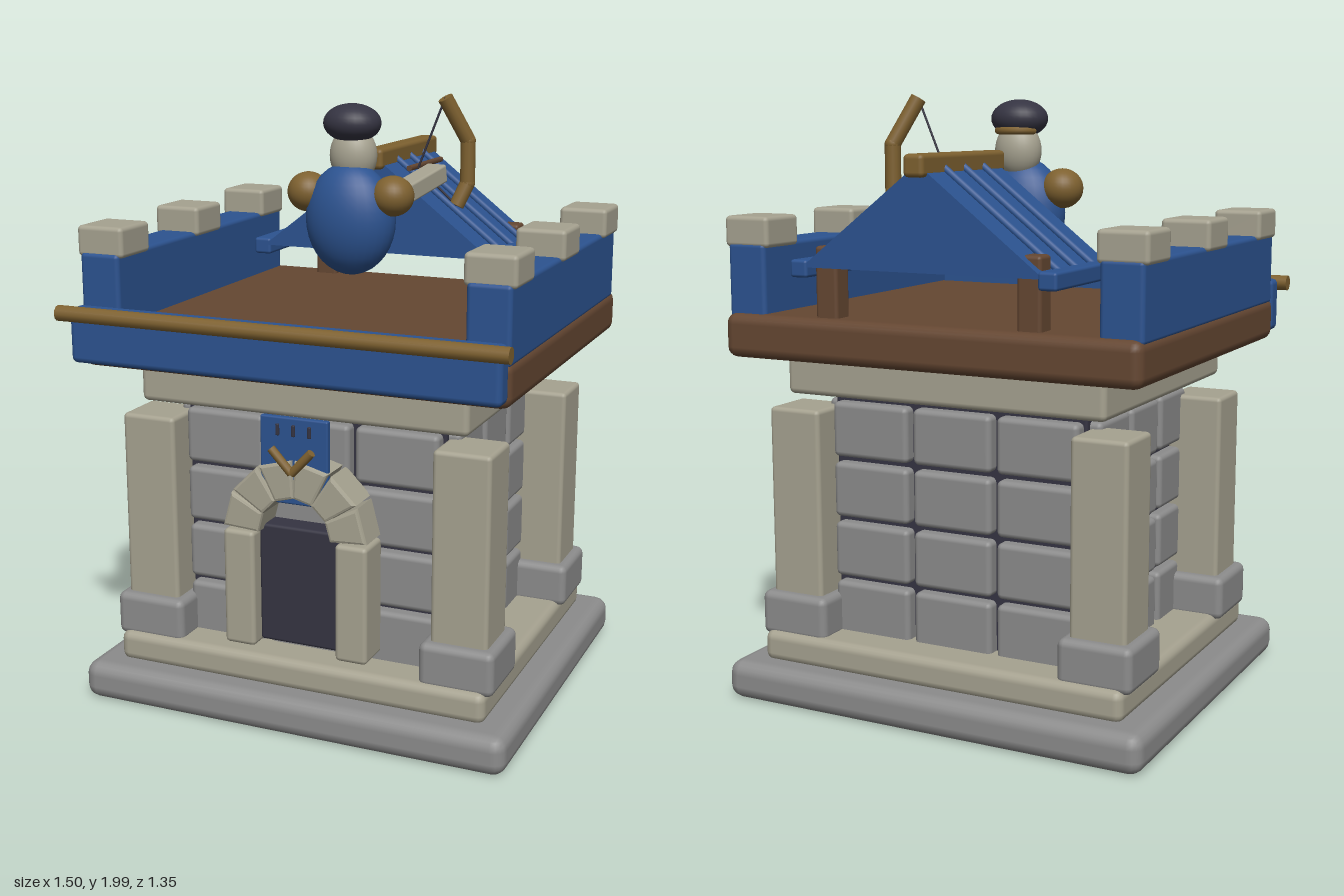
import * as THREE from 'three';
import { RoundedBoxGeometry } from 'three/addons/geometries/RoundedBoxGeometry.js';

const paint = (name, color) => {
  const m = new THREE.MeshStandardMaterial({ color });
  m.name = name;
  return m;
};

export function createModel() {
  const model = new THREE.Group();
  model.name = 'watchtower';
  const grey = paint('grey stone', 0x8c8c8c);
  const cream = paint('pale stone', 0xa6a290);
  const blue = paint('blue paint', 0x2c5390);
  const brown = paint('brown timber', 0x654732);
  const gold = paint('golden wood', 0x7e6130);
  const dark = paint('dark mortar', 0x353442);

  const add = (name, geometry, material) => {
    const mesh = new THREE.Mesh(geometry, material);
    mesh.name = name;
    model.add(mesh);
    return mesh;
  };
  // box given by its limits on each axis
  const block = (name, mat, [x0, x1], [y0, y1], [z0, z1], r = 0.015) => {
    const geo = new RoundedBoxGeometry(x1 - x0, y1 - y0, z1 - z0, 2, r);
    const mesh = add(name, geo, mat);
    mesh.position.set((x0 + x1) / 2, (y0 + y1) / 2, (z0 + z1) / 2);
    return mesh;
  };
  const ball = (name, mat, pos, radii) => {
    const mesh = add(name, new THREE.SphereGeometry(1, 28, 18), mat);
    mesh.position.set(...pos);
    mesh.scale.set(...radii);
    return mesh;
  };
  // round rod between two points
  const rod = (name, mat, a, b, r, sides = 12) => {
    const p = new THREE.Vector3(...a), q = new THREE.Vector3(...b);
    const dir = q.clone().sub(p);
    const mesh = add(name, new THREE.CylinderGeometry(r, r, dir.length(), sides), mat);
    mesh.position.copy(p).add(q).multiplyScalar(0.5);
    mesh.quaternion.setFromUnitVectors(new THREE.Vector3(0, 1, 0), dir.normalize());
    return mesh;
  };
  const range = (c, size) => [c - size / 2, c + size / 2];
  const ZC = -0.03; // middle of the tower in depth

  // Foundation, wall core and cap
  block('foundation', grey, [-0.745, 0.745], [0, 0.13], [-0.67, 0.615], 0.045);
  block('plinth', cream, [-0.65, 0.65], [0.12, 0.225], [-0.585, 0.525], 0.03);
  block('wallCore', dark, [-0.455, 0.455], [0.2, 1.04], [-0.41, 0.35], 0.01);
  block('wallCap', cream, [-0.565, 0.565], [1.03, 1.16], [-0.53, 0.47], 0.02);

  // Bricks on the four walls
  for (let row = 0; row < 4; row++) {
    const y = range(0.3 + row * 0.203, 0.184);
    for (let col = -1; col <= 1; col++) {
      for (const s of [-1, 1]) {
        block('brick', grey, range(col * 0.302, 0.282), y, range(ZC + s * 0.385, 0.08), 0.018);
        block('brick', grey, range(s * 0.455, 0.08), y, range(ZC + col * 0.25, 0.225), 0.018);
      }
    }
  }

  // Corner pillars
  for (const sx of [-1, 1]) for (const sz of [-1, 1]) {
    const x = sx * 0.545, z = ZC + sz * 0.405;
    block('cornerPillar', cream, range(x, 0.19), [0.25, 0.98], range(z, 0.19));
    block('pillarFoot', grey, range(x, 0.25), [0.205, 0.355], range(z, 0.255), 0.025);
  }

  // Doorway with arch
  block('door', dark, [-0.142, 0.142], [0.262, 0.665], [0.38, 0.47], 0.01);
  for (const s of [-1, 1]) block('doorJamb', cream, range(s * 0.197, 0.11), [0.25, 0.645], [0.38, 0.515]);
  for (let i = 0; i < 6; i++) {
    const a0 = (i * Math.PI) / 6 + 0.055, a1 = ((i + 1) * Math.PI) / 6 - 0.055;
    const wedge = new THREE.Shape();
    wedge.moveTo(0.133 * Math.cos(a0), 0.133 * Math.sin(a0));
    for (const [r, a] of [[0.24, a0], [0.24, a1], [0.133, a1]]) wedge.lineTo(r * Math.cos(a), r * Math.sin(a));
    const geo = new THREE.ExtrudeGeometry(wedge, {
      depth: 0.115, bevelThickness: 0.01, bevelSize: 0.01, bevelSegments: 2,
    });
    add('archStone', geo, cream).position.set(0, 0.652, 0.39);
  }

  // Banner above the door
  block('banner', blue, [-0.117, 0.117], [0.755, 1.04], [0.48, 0.503], 0.006);
  for (const x of [-0.055, 0, 0.055]) block('bannerMark', dark, range(x, 0.012), [0.98, 1.018], [0.5, 0.509], 0.003);
  for (const s of [-1, 1]) rod('bannerChevron', gold, [0, 0.865, 0.522], [s * 0.07, 0.94, 0.522], 0.014);

  // Platform and parapets
  block('platform', brown, [-0.725, 0.725], [1.155, 1.3], [-0.65, 0.575], 0.035);
  block('frontParapet', blue, [-0.72, 0.72], [1.18, 1.36], [0.565, 0.64], 0.02);
  rod('frontRail', gold, [-0.75, 1.343, 0.65], [0.75, 1.343, 0.65], 0.026);
  for (const s of [-1, 1]) {
    block('sideParapet', blue, range(s * 0.65, 0.14), [1.28, 1.525], [-0.62, 0.56]);
    for (const z of [0.465, -0.03, -0.53]) block('merlon', cream, range(s * 0.65, 0.165), [1.51, 1.61], range(z, 0.177));
  }

  // Gabled roof at the back
  const gable = new THREE.Shape();
  gable.moveTo(-0.42, 1.46);
  gable.lineTo(0.42, 1.46);
  gable.lineTo(0, 1.785);
  const roof = new THREE.ExtrudeGeometry(gable, { depth: 0.485, bevelEnabled: false });
  add('gableRoof', roof, blue).position.z = -0.645;
  block('ridgeBeam', gold, [-0.035, 0.035], [1.745, 1.815], [-0.675, 0.135 - 0.27]);
  for (const s of [-1, 1]) {
    block('eaveBeam', blue, range(s * 0.43, 0.062), [1.427, 1.483], [-0.65, -0.16], 0.01);
    block('roofPost', brown, range(s * 0.353, 0.08), [1.28, 1.525], range(-0.575, 0.075), 0.012);
    for (const z of [-0.285, -0.408, -0.53]) rod('roofBatten', blue, [s * 0.42, 1.468, z], [0, 1.792, z], 0.012, 8);
  }
  rod('spareArrow', brown, [0.1, 1.745, -0.53], [0.1, 1.745, -0.22], 0.01, 8);

  // Archer, looking over the roof
  ball('archerBody', blue, [0, 1.605, 0.05], [0.155, 0.185, 0.108]);
  ball('archerHead', cream, [0, 1.81, 0.025], [0.08, 0.095, 0.068]);
  ball('archerCap', dark, [0, 1.915, 0.035], [0.097, 0.063, 0.085]);
  const visor = add('capVisor', new THREE.TorusGeometry(0.068, 0.013, 8, 20, Math.PI * 0.8), gold);
  visor.rotation.set(-Math.PI / 2, 0, Math.PI * 0.1);
  visor.position.set(0, 1.876, 0.03);
  for (const s of [-1, 1]) ball('archerShoulder', gold, [s * 0.15, 1.687, 0.052], [0.07, 0.066, 0.07]);
  const arm = add('archerArm', new RoundedBoxGeometry(0.075, 0.062, 0.3, 2, 0.008), cream);
  arm.position.set(0.162, 1.702, -0.12);
  arm.lookAt(0.188, 1.732, -0.27);

  // Bow and string
  const bow = [[0.205, 1.98, -0.28], [0.27, 1.835, -0.335], [0.27, 1.69, -0.335], [0.24, 1.615, -0.31]];
  for (let i = 0; i < 3; i++) rod('bowLimb', gold, bow[i], bow[i + 1], 0.026);
  for (const p of bow.slice(1, 3)) ball('bowJoint', gold, p, [0.026, 0.026, 0.026]);
  const nock = [0.12, 1.745, -0.255];
  rod('bowString', dark, bow[0], nock, 0.004, 6);
  rod('bowString', dark, nock, bow[3], 0.004, 6);

  return model;
}
